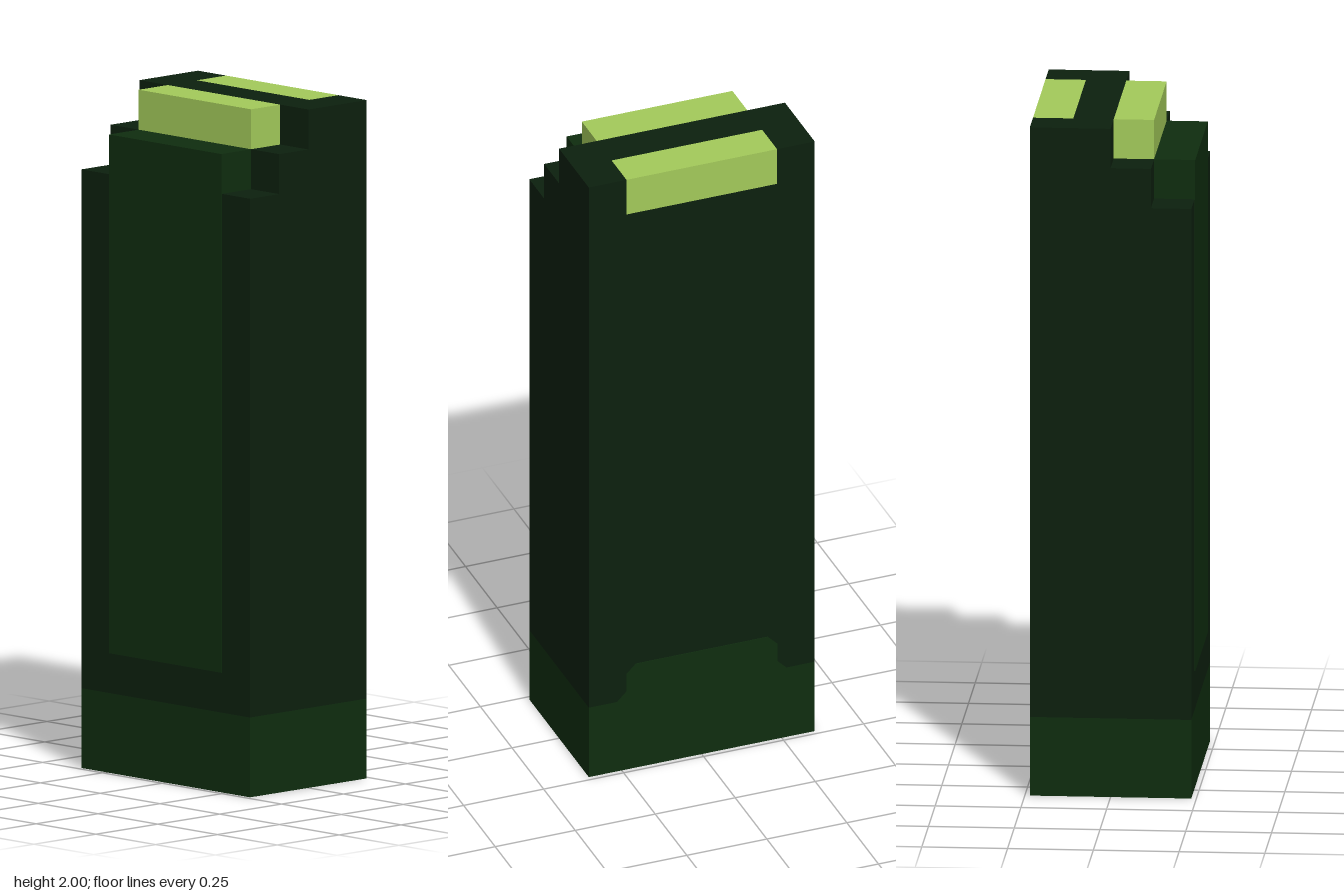
import * as THREE from 'three';

const U = 2 / 17; // one block unit

export function createModel() {
  const mat = (name, color) => {
    const m = new THREE.MeshStandardMaterial({ color });
    m.name = name;
    return m;
  };
  const dark = mat('darkGreen', 0x0c200e);
  const green = mat('mossGreen', 0x0f2d0f);
  const lime = mat('limeGreen', 0xa3ca5a);

  const group = new THREE.Group();
  // Box given by its limits in block units
  const box = (name, material, [x0, x1], [y0, y1], [z0, z1]) => {
    const g = new THREE.BoxGeometry((x1 - x0) * U, (y1 - y0) * U, (z1 - z0) * U);
    const m = new THREE.Mesh(g, material);
    m.position.set((x0 + x1) / 2 * U, (y0 + y1) / 2 * U, (z0 + z1) / 2 * U);
    m.name = name;
    group.add(m);
  };

  // Base with a dark underside, and the tall body
  box('base', [green, green, green, dark, green, green], [-2, 2], [0, 2], [-3, 3]);
  box('body', dark, [-2, 2], [2, 15], [-3, 3]);

  // Stepped top
  box('middleStep', dark, [-1, 2], [15, 16], [-3, 3]);
  box('lowStep', green, [-2, -1], [15, 16], [-2, 2]);
  box('topSlab', dark, [0, 1], [16, 17], [-3, 3]);
  for (const s of [-1, 1]) {
    box('topCorner', dark, [1, 2], [16, 17], s < 0 ? [-3, -2] : [2, 3]);
  }
  box('limeRidge', lime, [-1, 0], [16, 17], [-2, 2]);
  box('limeInlay', lime, [1, 2], [16, 17], [-2, 2]);

  // Thin panel on the stepped side
  box('sidePanel', green, [-2.02, -1.99], [3, 16], [-2, 2]);

  // Raised edge of the base colour on the plain side, with small chamfers
  const c = 0.25;
  const shape = new THREE.Shape([
    [-2 - c, 2], [-2, 2 + c], [-2, 3 - c], [-2 + c, 3],
    [2 - c, 3], [2, 3 - c], [2, 2 + c], [2 + c, 2],
  ].map(([z, y]) => new THREE.Vector2(z * U, y * U)));
  const patch = new THREE.Mesh(
    new THREE.ExtrudeGeometry(shape, { depth: 0.002, bevelEnabled: false }), green);
  patch.rotation.y = Math.PI / 2;
  patch.position.x = 2 * U;
  patch.name = 'basePatch';
  group.add(patch);

  return group;
}
